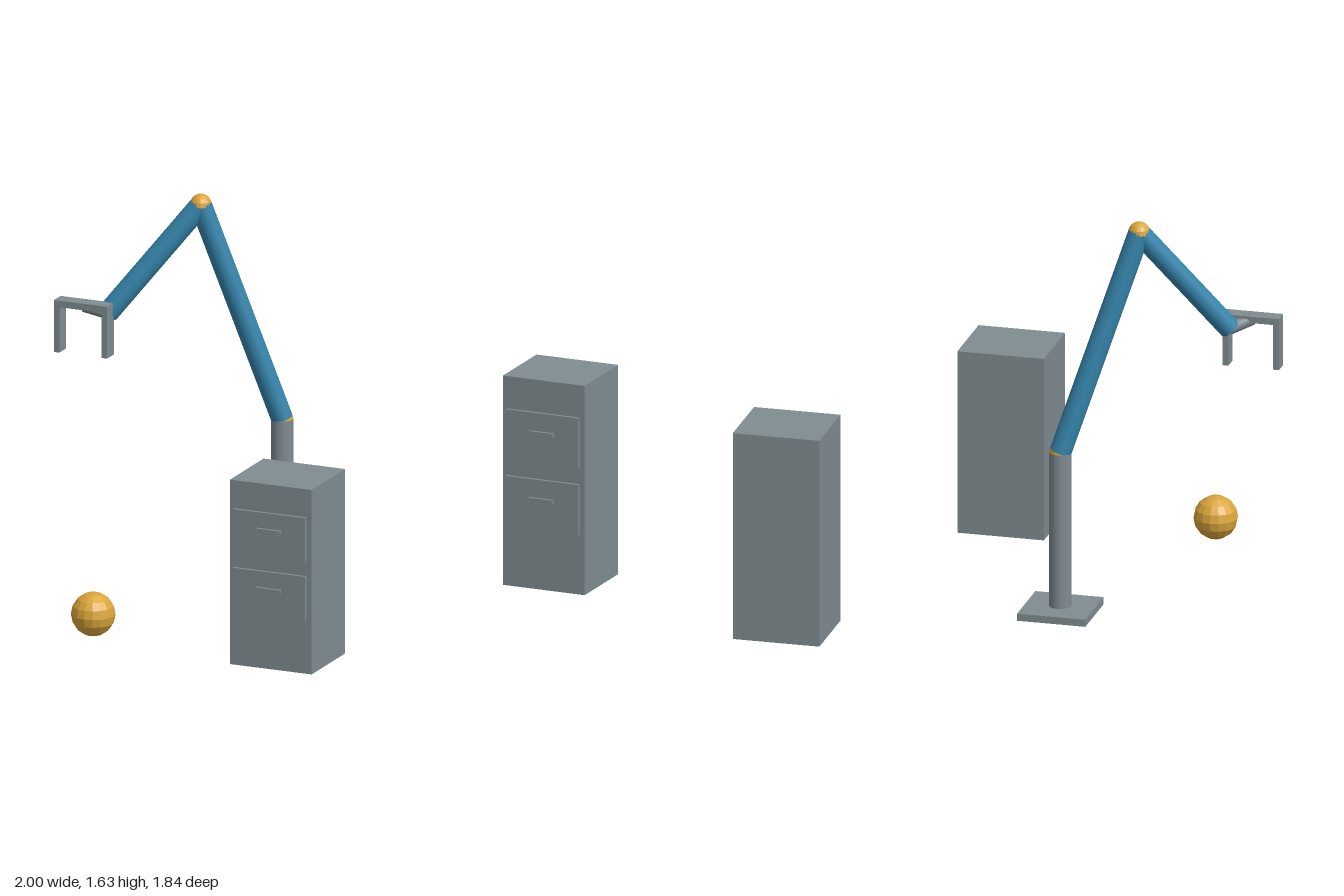
import * as THREE from 'three';

export function createModel() {
  const model = new THREE.Group();
  model.name = 'robotArmScene';

  const mat = (name, color, flatShading = false) => {
    const m = new THREE.MeshStandardMaterial({ color, flatShading });
    m.name = name;
    return m;
  };
  const grey = mat('steelGrey', 0x7f8c91);
  const blue = mat('armBlue', 0x3585ac);
  const amber = mat('amber', 0xdaa53a, true);

  const add = (name, geometry, material, parent) => {
    const mesh = new THREE.Mesh(geometry, material);
    mesh.name = name;
    parent.add(mesh);
    return mesh;
  };
  // box given by its low and high corners
  const box = (name, [x0, y0, z0], [x1, y1, z1], parent) =>
    add(name, new THREE.BoxGeometry(x1 - x0, y1 - y0, z1 - z0), grey, parent)
      .position.set((x0 + x1) / 2, (y0 + y1) / 2, (z0 + z1) / 2);
  // cylinder running between two points
  const rod = (name, a, b, radius, material, parent) => {
    const dir = b.clone().sub(a);
    const mesh = add(name, new THREE.CylinderGeometry(radius, radius, dir.length(), 32), material, parent);
    mesh.position.copy(a).add(b).multiplyScalar(0.5);
    mesh.quaternion.setFromUnitVectors(new THREE.Vector3(0, 1, 0), dir.normalize());
  };
  const ball = (name, centre, radius, parent) =>
    add(name, new THREE.SphereGeometry(radius, 16, 8), amber, parent).position.copy(centre);

  // Arm: base plate, post, two segments and their joints
  const arm = new THREE.Group();
  arm.name = 'robotArm';
  model.add(arm);
  const foot = new THREE.Vector3(-0.19, 0.03, -0.268);
  const shoulder = new THREE.Vector3(-0.19, 0.683, -0.268);
  const elbow = new THREE.Vector3(-0.474, 1.587, -0.104);
  const wrist = new THREE.Vector3(-0.8, 1.145, 0.083);
  const palm = new THREE.Vector3(-0.882, 1.178, 0.131);
  box('basePlate', [-0.332, 0, -0.41], [-0.048, 0.03, -0.126], arm);
  rod('post', foot, shoulder, 0.045, grey, arm);
  rod('upperArm', shoulder, elbow, 0.0445, blue, arm);
  rod('forearm', elbow, wrist, 0.0435, blue, arm);
  ball('shoulderJoint', shoulder, 0.045, arm);
  ball('elbowJoint', elbow, 0.0455, arm);

  // Gripper: wrist stub, crossbar and two fingers
  const gripper = new THREE.Group();
  gripper.name = 'gripper';
  arm.add(gripper);
  rod('wristStub', wrist, palm, 0.025, grey, gripper);
  box('crossbar', [-1, 1.17, 0.1], [-0.765, 1.197, 0.166], gripper);
  for (const x of [-1, -0.79]) box('finger', [x, 0.98, 0.1], [x + 0.025, 1.17, 0.166], gripper);

  // Cabinets: body, two drawer fronts standing slightly proud, and handles
  const cabinet = (name, x, height, zBack, zFront, drawers) => {
    const g = new THREE.Group();
    g.name = name;
    model.add(g);
    box('body', [x - 0.18, 0, zBack], [x + 0.18, height, zFront], g);
    for (const [y, half, handleY] of drawers) {
      box('drawer', [x - 0.159, y - half, zFront + 0.006], [x + 0.159, y + half, zFront + 0.02], g);
      box('handle', [x - 0.054, handleY - 0.008, zFront + 0.02], [x + 0.054, handleY + 0.008, zFront + 0.033], g);
    }
  };
  cabinet('shortCabinet', 0.28, 0.772, 0.557, 0.885, [[0.317, 0.094, 0.337], [0.563, 0.094, 0.584]]);
  cabinet('tallCabinet', 0.817, 0.876, -0.919, -0.591, [[0.357, 0.107, 0.381], [0.636, 0.107, 0.66]]);

  // Loose ball on the floor
  ball('floorBall', new THREE.Vector3(-0.562, 0.094, 0.752), 0.09, model);

  return model;
}
